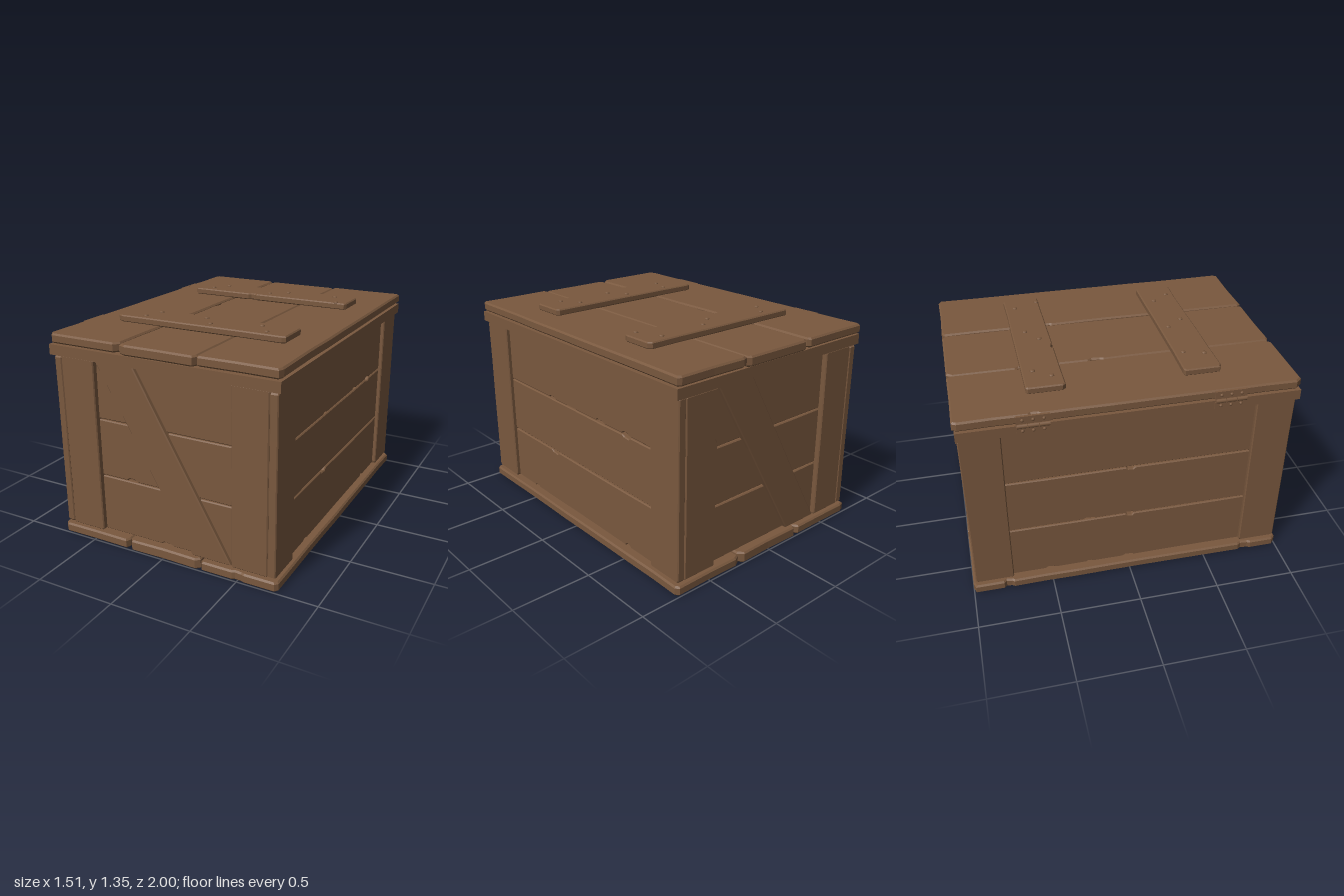
import * as THREE from 'three';

const wood = new THREE.MeshStandardMaterial({ color: 0x79583e });
wood.name = 'brown wood';

// Small seeded generator for wear on the boards
let seed = 7;
const rand = () => (seed = (seed * 16807) % 2147483647) / 2147483647;

// Board with clipped corners, slightly uneven edges and a few chips.
// corners run counter-clockwise; the thickness t runs from z = -t to z = 0.
function board(name, corners, t, { cut = 0.01, wobble = 0.003, chips = 0.3, bevel = 0.006 } = {}) {
  const pts = [];
  corners.forEach((a, i) => {
    const b = corners[(i + 1) % corners.length];
    const dx = b[0] - a[0], dy = b[1] - a[1], len = Math.hypot(dx, dy);
    const add = (along, inward) => pts.push(new THREE.Vector2(
      a[0] + (dx * along - dy * inward) / len,
      a[1] + (dy * along + dx * inward) / len));
    const c = cut * (0.5 + rand());
    add(c, 0);
    const steps = Math.floor(len / 0.22);
    for (let k = 1; k < steps; k++) {
      const s = (len * k) / steps;
      if (rand() < chips) {
        const w = 0.025 + rand() * 0.025, d = 0.008 + rand() * 0.008;
        add(s - w, 0);
        add(s - w * 0.5, d);
        add(s + w * 0.5, d * 0.7);
        add(s + w, 0);
      } else add(s, rand() * wobble);
    }
    add(len - cut * (0.5 + rand()), 0);
  });
  const geo = new THREE.ExtrudeGeometry(new THREE.Shape(pts), {
    depth: t - 2 * bevel, bevelThickness: bevel, bevelSize: bevel, bevelOffset: -bevel, bevelSegments: 1,
  });
  geo.translate(0, 0, bevel - t);
  const mesh = new THREE.Mesh(geo, wood);
  mesh.name = name;
  return mesh;
}

const rect = (x0, x1, y0, y1) => [[x0, y0], [x1, y0], [x1, y1], [x0, y1]];

function box(name, x0, x1, y0, y1, z0, z1) {
  const m = new THREE.Mesh(new THREE.BoxGeometry(x1 - x0, y1 - y0, z1 - z0), wood);
  m.position.set((x0 + x1) / 2, (y0 + y1) / 2, (z0 + z1) / 2);
  m.name = name;
  return m;
}

// Board lying flat, with its top face at height top
function flatBoard(name, x0, x1, z0, z1, top, t, options) {
  const m = board(name, rect(x0, x1, -z1, -z0), t, options);
  m.rotation.x = -Math.PI / 2;
  m.position.y = top;
  return m;
}

const Y0 = 0.075, Y1 = 1.17;
const rows = [[Y0, 0.436], [0.441, 0.801], [0.806, Y1]];

// Narrow wall: three planks, two uprights and a diagonal brace
function endWall() {
  const g = new THREE.Group();
  rows.forEach(([a, b]) => {
    const p = board('endPlank', rect(-0.46, 0.46, a, b), 0.05);
    p.position.z = 0.95;
    g.add(p);
  });
  [[-0.675, -0.445], [0.45, 0.675]].forEach(([a, b]) => {
    const u = board('endUpright', rect(a, b, Y0, Y1), 0.06, { cut: 0.006, chips: 0.1 });
    u.position.z = 0.983;
    g.add(u);
  });
  const brace = board('diagonalBrace', [[0.185, Y0], [0.442, Y0], [-0.18, Y1], [-0.44, Y1]], 0.04,
    { cut: 0.003, wobble: 0.002, chips: 0 });
  brace.position.z = 0.976;
  g.add(brace);
  return g;
}

// Long wall: three planks and two corner posts
function sideWall() {
  const g = new THREE.Group();
  rows.forEach(([a, b]) => {
    const p = board('sidePlank', rect(-0.76, 0.76, a, b), 0.05);
    p.position.z = 0.7;
    g.add(p);
  });
  [[-0.983, -0.744], [0.744, 0.983]].forEach(([a, b]) => {
    const post = board('cornerPost', rect(a, b, Y0, Y1), 0.05, { cut: 0.012, chips: 0.15 });
    post.position.z = 0.725;
    g.add(post);
  });
  return g;
}

function hinge(z) {
  const g = new THREE.Group();
  g.name = 'hinge';
  g.add(box('upperLeaf', -0.744, -0.73, 1.247, 1.296, z - 0.095, z + 0.095));
  g.add(box('lowerLeaf', -0.744, -0.73, 1.18, 1.225, z - 0.095, z + 0.095));
  for (let i = -1; i <= 1; i++) {
    const knuckle = new THREE.Mesh(new THREE.CylinderGeometry(0.013, 0.013, 0.058, 10), wood);
    knuckle.rotation.x = Math.PI / 2;
    knuckle.position.set(-0.745, 1.236, z + i * 0.063);
    knuckle.name = 'hingeKnuckle';
    g.add(knuckle);
    [1.203, 1.273].forEach((y) => {
      const rivet = new THREE.Mesh(new THREE.SphereGeometry(0.01, 8, 6), wood);
      rivet.position.set(-0.744, y, z + i * 0.06);
      rivet.name = 'hingeRivet';
      g.add(rivet);
    });
  }
  return g;
}

export function createModel() {
  const crate = new THREE.Group();
  crate.name = 'woodenCrate';

  // Four walls around a plain lining
  const body = new THREE.Group();
  body.name = 'body';
  body.position.x = 0.01;
  body.add(box('lining', -0.67, 0.67, Y0 + 0.002, Y1, -0.925, 0.925));
  for (let i = 0; i < 4; i++) {
    const wall = i % 2 ? sideWall() : endWall();
    wall.name = ['frontWall', 'leftWall', 'backWall', 'rightWall'][i];
    wall.rotation.y = (i * Math.PI) / 2;
    body.add(wall);
  }
  crate.add(body);

  // Rim under the lid
  const rim = new THREE.Group();
  rim.name = 'rim';
  rim.add(box('rimBar', -0.735, 0.755, Y1, 1.233, 0.92, 0.997));
  rim.add(box('rimBar', -0.735, 0.755, Y1, 1.233, -0.99, -0.92));
  rim.add(box('rimBar', -0.735, -0.65, Y1, 1.233, -0.92, 0.92));
  rim.add(box('rimBar', 0.67, 0.755, Y1, 1.233, -0.92, 0.92));
  crate.add(rim);

  // Floor and lid, three boards each
  [[-0.735, -0.243], [-0.239, 0.255], [0.259, 0.755]].forEach(([a, b], i) => {
    const worn = { cut: 0.025, wobble: 0.005, chips: 0.12, bevel: 0.01 };
    const mid = i === 1;
    crate.add(flatBoard('floorBoard', a, b, -1, 1, mid ? 0.07 : 0.063, mid ? 0.07 : 0.06, worn));
    crate.add(flatBoard('lidBoard', a, b, -1, 1, mid ? 1.296 : 1.3, mid ? 0.062 : 0.058, worn));
  });

  // Battens across the lid and their nails
  const battenWear = { cut: 0.018, wobble: 0.004, chips: 0.05, bevel: 0.007 };
  crate.add(flatBoard('backBatten', -0.54, 0.587, -0.573, -0.345, 1.34, 0.042, battenWear));
  crate.add(flatBoard('frontBatten', -0.545, 0.58, 0.345, 0.575, 1.34, 0.042, battenWear));
  const nails = [
    [-0.43, -0.41], [-0.36, -0.51], [0.01, -0.415], [0.115, -0.49], [0.45, -0.51], [0.515, -0.36],
    [-0.34, 0.4], [-0.375, 0.52], [-0.015, 0.405], [0.07, 0.51], [0.36, 0.415], [0.44, 0.52],
  ];
  nails.forEach(([x, z]) => {
    const nail = new THREE.Mesh(new THREE.SphereGeometry(0.016, 10, 6), wood);
    nail.scale.y = 0.55;
    nail.position.set(x, 1.34, z);
    nail.name = 'nail';
    crate.add(nail);
  });

  crate.add(hinge(-0.565), hinge(0.565));
  return crate;
}
